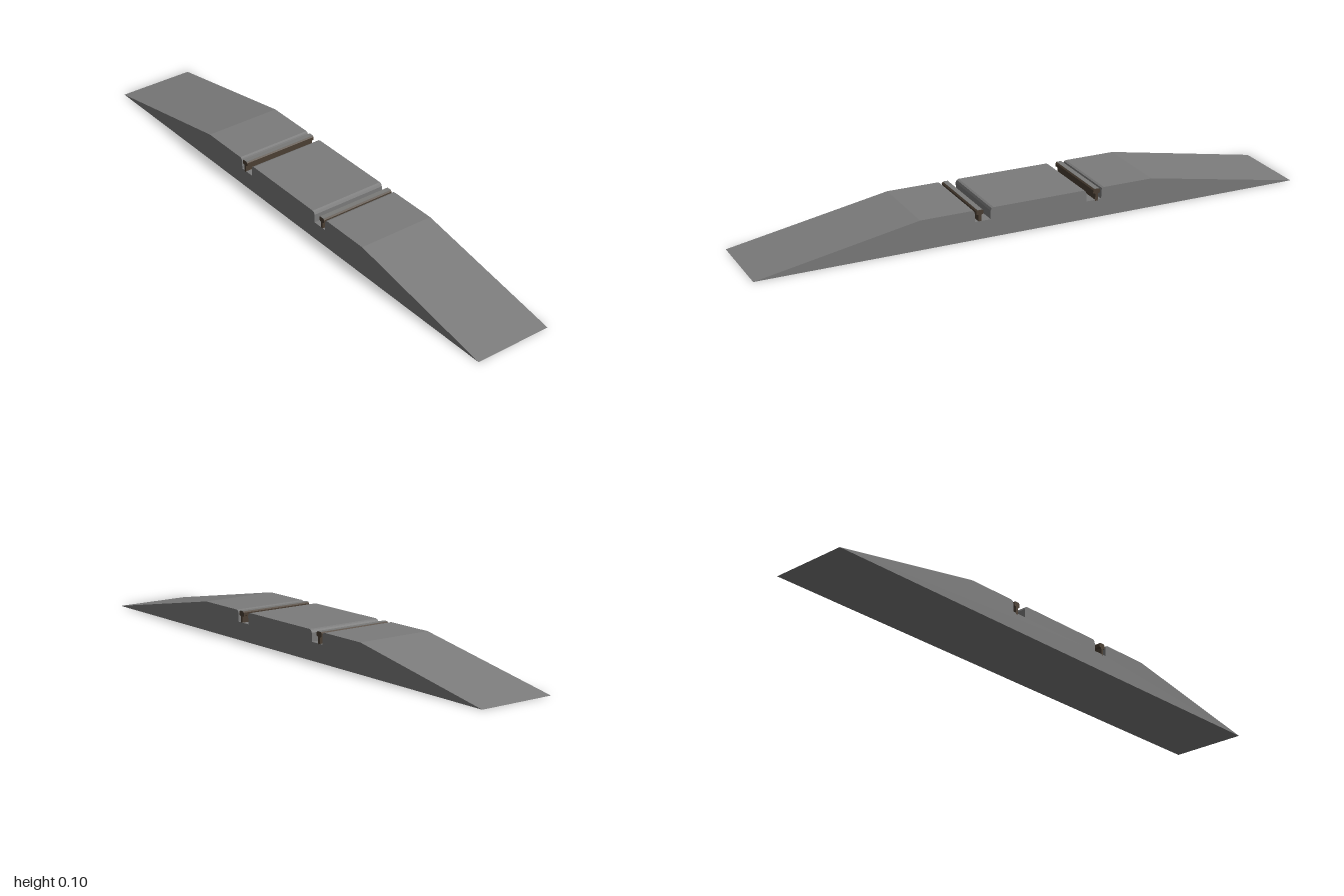
import * as THREE from 'three';

const WIDTH = 0.284, TOP = 0.105, FLOOR = 0.064;

// Extrudes a (z, y) profile across the full width, centred on x = 0.
function extrudeAcross(points, materials, name) {
  const shape = new THREE.Shape(points.map(([z, y]) => new THREE.Vector2(z, y)));
  const geometry = new THREE.ExtrudeGeometry(shape, { depth: WIDTH, bevelEnabled: false });
  geometry.translate(0, 0, -WIDTH / 2).rotateY(-Math.PI / 2);
  const mesh = new THREE.Mesh(geometry, materials);
  mesh.name = name;
  return mesh;
}

export function createModel() {
  const group = new THREE.Group();
  group.name = 'levelCrossing';
  const concrete = new THREE.MeshStandardMaterial({ name: 'concrete grey', color: 0x7c7c7c });
  const rust = new THREE.MeshStandardMaterial({ name: 'rusty brown', color: 0x4c4034 });
  const steel = new THREE.MeshStandardMaterial({ name: 'worn steel', color: 0x7a7a78 });

  // Ramped roadway with two rail grooves whose lips are eased
  const half = [
    [0.167, TOP], [0.174, TOP - 0.003], [0.178, TOP - 0.011], [0.178, FLOOR],
    [0.235, FLOOR], [0.235, TOP - 0.011], [0.238, TOP - 0.003], [0.245, TOP],
    [0.43, TOP], [1, 0],
  ];
  const mirrored = half.map(([z, y]) => [-z, y]).reverse();
  group.add(extrudeAcross([...mirrored, ...half], concrete, 'roadway'));

  // Rails: half section from the foot of the web to the crown
  const section = [
    [0.005, FLOOR - 0.004], [0.005, 0.086], [0.013, 0.089], [0.013, 0.1], [0.009, 0.104],
  ];
  for (const side of [1, -1]) {
    const centre = side * 0.217;
    const profile = [...section, ...section.map(([z, y]) => [-z, y]).reverse()]
      .map(([z, y]) => [z + centre, y]);
    const name = side > 0 ? 'frontRail' : 'backRail';
    group.add(extrudeAcross(profile, rust, name));

    // Polished running surface
    const strip = new THREE.Mesh(new THREE.BoxGeometry(WIDTH, 0.001, 0.018), steel);
    strip.name = name + 'RunningSurface';
    strip.position.set(0, TOP - 0.0005, centre);
    group.add(strip);
  }
  return group;
}
